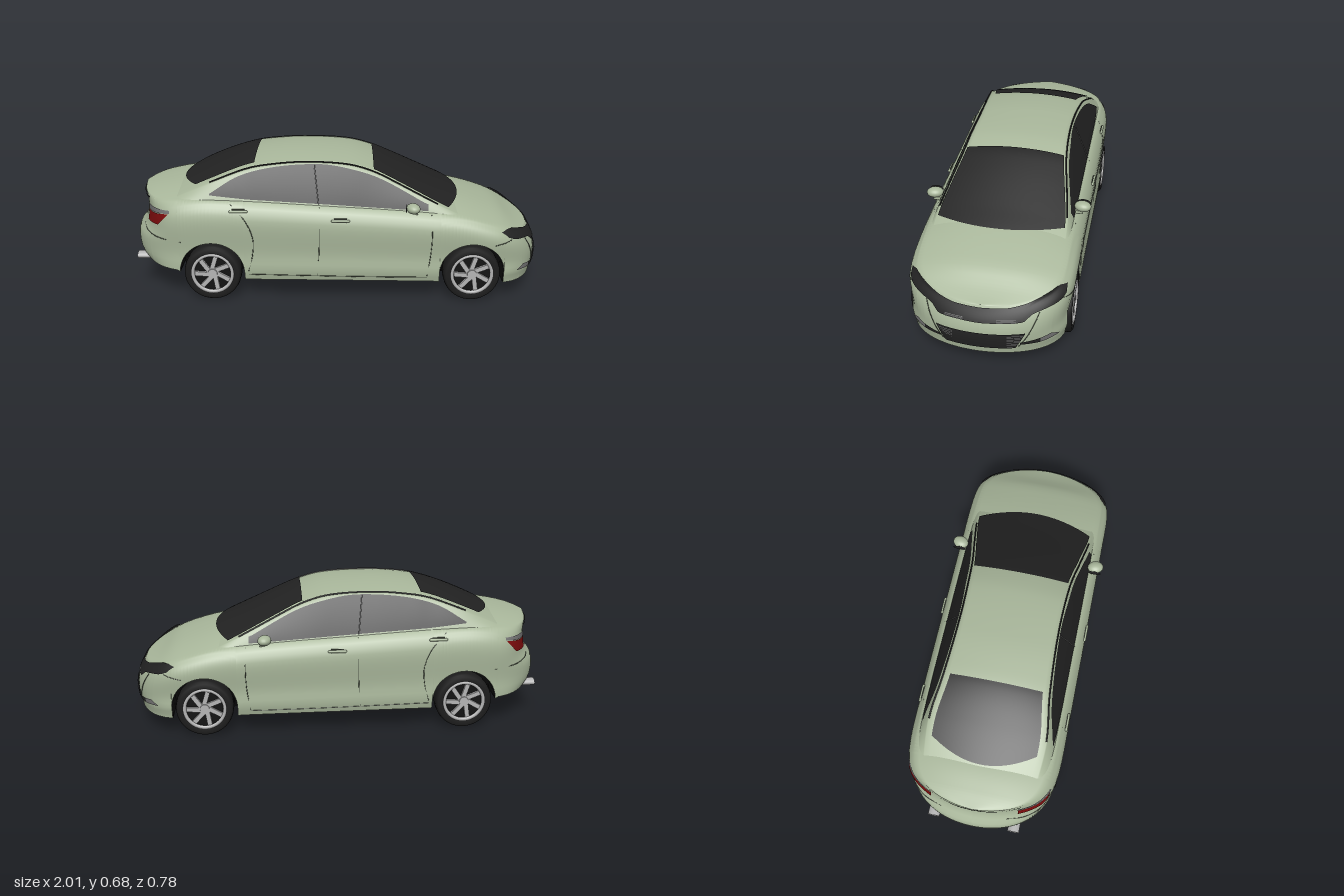
import * as THREE from 'three';

const mat = (name, color) => {
  const m = new THREE.MeshStandardMaterial({ color, side: THREE.DoubleSide });
  m.name = name;
  return m;
};
const clamp = THREE.MathUtils.clamp, lerp = THREE.MathUtils.lerp, smooth = THREE.MathUtils.smoothstep;
const range = (a, b, n) => Array.from({ length: n + 1 }, (_, i) => a + (b - a) * i / n);

// Smooth curve through [x, value] points
function curve(p) {
  const sl = p.map((_, i) => {
    const a = p[Math.max(i - 1, 0)], b = p[Math.min(i + 1, p.length - 1)];
    return (b[1] - a[1]) / (b[0] - a[0]);
  });
  return x => {
    x = clamp(x, p[0][0], p[p.length - 1][0]);
    let i = 0;
    while (i < p.length - 2 && x > p[i + 1][0]) i++;
    const h = p[i + 1][0] - p[i][0], t = (x - p[i][0]) / h, t2 = t * t, t3 = t2 * t;
    return (2 * t3 - 3 * t2 + 1) * p[i][1] + (t3 - 2 * t2 + t) * h * sl[i]
      + (3 * t2 - 2 * t3) * p[i + 1][1] + (t3 - t2) * h * sl[i + 1];
  };
}
// Straight-line curve for outlines with corners
const poly = p => x => {
  let i = 0;
  while (i < p.length - 2 && x > p[i + 1][0]) i++;
  return lerp(p[i][1], p[i + 1][1], clamp((x - p[i][0]) / (p[i + 1][0] - p[i][0]), 0, 1));
};

// Body lines along the length
const shoulder = curve([[-1, .485], [-.85, .48], [-.6, .495], [0, .465], [.43, .435], [.62, .41], [.81, .358], [1, .308]]);
const deck = curve([[-1, .495], [-.9, .512], [-.74, .528], [-.5, .52], [0, .48], [.5, .475], [.62, .452], [.81, .392], [.94, .338], [1, .311]]);
const hem = poly([[-1, .165], [-.76, .15], [-.7, .108], [.45, .098], [.85, .085], [1, .085]]);
const noseX = curve([[.08, .985], [.18, 1], [.24, .988], [.32, .948], [.37, .93]]);
const tailX = curve([[.15, .965], [.2, 1], [.29, 1], [.34, .962], [.42, .945], [.5, .96]]);
const flank = curve([[0, .96], [.14, .99], [.35, .975], [.72, 1], [.88, .97], [1, .885]]);
const AXLES = [-.595, .65], WHEEL_Y = .137, ARCH = .156;

const plan = u => .37 * Math.sqrt(Math.max(0, u > 0
  ? 1 - Math.max(0, (u - .6) / .4) ** 3.7
  : 1 - Math.max(0, (-u - .5) / .5) ** 4));
const side = (u, y) => plan(u) * flank(clamp((y - .1) / (shoulder(u) - .1), 0, 1));
const warp = (u, y) => u * (1 + ((u > 0 ? noseX(y) : tailX(y)) - 1) * smooth(Math.abs(u), .75, 1));
const low = u => {
  let y = hem(u);
  for (const a of AXLES) {
    const d = Math.abs(u - a);
    if (d < ARCH) y = Math.max(y, WHEEL_Y + Math.sqrt(ARCH * ARCH - d * d));
  }
  return y;
};
// Point on the flank, slightly lifted
const onSide = (u, y, s, e = .005) => [
  warp(u, y) + e * Math.sign(u) * smooth(Math.abs(u), .75, 1), y, s * side(u, y) * (1 + e * 2.4)];
// Lengthwise station where the nose has half-width z
function noseAt(z, y) {
  let a = .6, b = 1;
  for (let i = 0; i < 30; i++) { const m = (a + b) / 2; if (side(m, y) > z) a = m; else b = m; }
  return a;
}

// Cabin lines
const roof = curve([[-.85, .485], [-.74, .538], [-.58, .606], [-.42, .659], [-.3, .675], [-.16, .68], [.06, .668], [.17, .643], [.25, .612], [.49, .503], [.62, .446], [.66, .425]]);
const railDrop = curve([[-.82, .03], [-.4, .025], [0, .018], [.3, .03], [.6, .04]]);
const railZ = curve([[-.85, .26], [-.6, .278], [-.4, .252], [-.1, .236], [.17, .246], [.35, .275], [.5, .298], [.66, .3]]);
const rail = x => Math.max(roof(x) - railDrop(x), shoulder(x));
const cabinZ = (x, y) => {
  const s = shoulder(x) - .01, t = clamp((y - s) / (rail(x) - s), 0, 1);
  return lerp(side(x, shoulder(x)) - .003, railZ(x), t) + .012 * t * (1 - t);
};
const roofY = (x, f) => lerp(roof(x), rail(x), f * f);

export function createModel() {
  const car = new THREE.Group();
  car.name = 'car';
  const paint = mat('sage paint', 0xa9b79b), glass = mat('dark glass', 0x222222), rubber = mat('tyre rubber', 0x1c1c1c),
    under = mat('underbody black', 0x111111), alloy = mat('alloy', 0xb4b4b4), red = mat('tail red', 0x7c0c0c),
    lamp = mat('lamp grey', 0x707070), seamMat = mat('seam grey', 0x4c5346);

  const add = (name, geo, m, parent = car) => {
    const mesh = new THREE.Mesh(geo, m);
    mesh.name = name;
    parent.add(mesh);
    return mesh;
  };
  // Grid surface from a point rule
  const patch = (name, us, vs, fn, m) => {
    const pos = [], idx = [], n = vs.length;
    us.forEach((u, i) => vs.forEach((v, j) => {
      pos.push(...fn(u, v));
      if (i && j) {
        const a = (i - 1) * n + j - 1, b = i * n + j - 1;
        idx.push(a, a + 1, b, b, a + 1, b + 1);
      }
    }));
    const g = new THREE.BufferGeometry();
    g.setAttribute('position', new THREE.Float32BufferAttribute(pos, 3));
    g.setIndex(idx);
    g.computeVertexNormals();
    return add(name, g, m);
  };
  const line = (name, pts, m, r = .002) =>
    add(name, new THREE.TubeGeometry(new THREE.CatmullRomCurve3(pts.map(p => new THREE.Vector3(...p))), 32, r, 5), m);

  // Body shell: stations are denser at the arches and the rounded ends
  const us = range(-1, 1, 120);
  for (const a of AXLES) for (const t of range(0, Math.PI, 28)) us.push(a + ARCH * 1.0001 * Math.cos(t));
  for (const t of range(0, 1, 18)) us.push(1 - .1 * t * t, -1 + .1 * t * t);
  us.sort((a, b) => a - b);
  patch('bodyShell', us, range(-2, 2, 56), (u, v) => {
    const t = Math.abs(v), s = Math.sign(v), sh = shoulder(u);
    const y = t > 1 ? lerp(sh, low(u), t - 1) : lerp(deck(u), sh, t ** 2.4);
    const z = t > 1 ? side(u, y) : side(u, sh) * t;
    return [warp(u, y), y, s * z];
  }, paint);

  // Underbody with wheel wells
  patch('underbody', us, [-3, -2, -1, 1, 2, 3], (u, v) => {
    const t = Math.abs(v), y = t > 1 ? low(u) : hem(u) + .004, w = side(u, low(u)) * .995;
    return [warp(u, y) * .998, y, Math.sign(v) * (t > 2 ? w : Math.min(w, .24))];
  }, under);

  // Cabin and its glass
  patch('cabin', range(-.85, .66, 90), range(-2, 2, 40), (x, v) => {
    const t = Math.abs(v), s = Math.sign(v);
    if (t <= 1) return [x, roofY(x, t), s * t * railZ(x)];
    const y = lerp(rail(x), shoulder(x) - .01, t - 1);
    return [x, y, s * cabinZ(x, y)];
  }, paint);
  const screen = (name, top, bottom, bow, f0, f1) => patch(name, range(0, 1, 30), range(-1, 1, 24), (t, f) => {
    const x = lerp(top, bottom + bow * f * f, t), g = f * lerp(f0, f1, t);
    return [x + Math.sign(bottom) * .002, roofY(x, g) + .005, g * railZ(x)];
  }, glass);
  screen('windscreen', .175, .6, -.07, .95, .975);
  screen('rearWindow', -.39, -.755, .085, .87, .9);

  const winTop = curve([[-.6, .524], [-.47, .598], [-.31, .638], [-.1, .652], [.03, .638], [.2, .59], [.43, .474]]);
  const winLow = poly([[-.6, .518], [-.42, .5], [0, .474], [.435, .445]]);
  const strip = (name, m, s, u0, u1, top, bottom) =>
    patch(name, range(u0, u1, 24), range(0, 1, 4), (u, t) => onSide(u, lerp(bottom(u), top(u), t), s), m);
  const front = (name, m, z0, z1, top, bottom) =>
    patch(name, range(z0, z1, 48), range(0, 1, 6), (z, t) => {
      const y = lerp(bottom(Math.abs(z)), top(Math.abs(z)), t);
      return onSide(noseAt(Math.abs(z), y), y, Math.sign(z), .006);
    }, m);

  for (const s of [-1, 1]) {
    patch('sideWindow', range(-.6, .435, 60), range(0, 1, 8), (x, t) => {
      const y = lerp(winLow(x), winTop(x), t);
      return [x, y, s * (cabinZ(x, y) + .004)];
    }, glass);
    line('windowDivider', range(.478, .648, 5).map(y => {
      const x = -.085 - (y - .478) * .12;
      return [x, y, s * (cabinZ(x, y) + .005)];
    }), lamp, .0025);
    line('roofTrim', range(-.6, .48, 24).map(x => [x, rail(x) + .001, s * railZ(x)]), glass, .004);

    // Panel gaps
    const seam = (name, pts) => line(name, pts.map(([u, y]) => onSide(u, y, s, 0)), seamMat);
    seam('frontDoorGap', [[.45, .43], [.452, .35], [.45, .25], [.435, .13]]);
    seam('middleDoorGap', [[-.08, .465], [-.08, .36], [-.083, .24], [-.09, .13]]);
    seam('rearDoorGap', [[-.5, .48], [-.43, .41], [-.395, .32], [-.4, .23], [-.42, .15]]);
    seam('sillGap', [[-.42, .135], [-.1, .128], [.2, .123], [.435, .122]]);
    seam('rearBumperGap', [[-.975, .325], [-.93, .315], [-.85, .305], [-.74, .295]]);
    seam('frontBumperGap', [[.75, .285], [.8, .295], [.85, .305]]);

    // Door handles
    for (const [x, y] of [[-.46, .453], [.02, .41]]) {
      const z = side(x, y);
      add('handleRecess', new THREE.BoxGeometry(.06, .022, .004), seamMat).position.set(x, y, s * z);
      const h = add('doorHandle', new THREE.CapsuleGeometry(.007, .075, 4, 8), paint);
      h.rotation.z = Math.PI / 2;
      h.position.set(x, y, s * (z + .004));
    }

    // Door mirrors
    const shell = add('mirrorShell', new THREE.SphereGeometry(1, 20, 14), paint);
    shell.scale.set(.032, .024, .04);
    shell.position.set(.36, .468, s * .352);
    shell.rotation.y = s * .25;
    const face = add('mirrorGlass', new THREE.CircleGeometry(1, 20), glass);
    face.scale.set(.032, .018, 1);
    face.rotation.y = -Math.PI / 2;
    face.position.set(.327, .468, s * .352);
    add('mirrorArm', new THREE.BoxGeometry(.025, .015, .06), paint).position.set(.37, .447, s * .325);

    // Tail lamps and boot slot
    strip('tailLampRed', red, s, -.8, -.955, poly([[-.955, .415], [-.8, .432]]), poly([[-.955, .362], [-.87, .37], [-.8, .43]]));
    strip('tailLampGrey', lamp, s, -.79, -.955, poly([[-.955, .445], [-.79, .448]]), poly([[-.955, .417], [-.79, .435]]));
    strip('bootSlot', glass, s, -.93, -1, () => .482, poly([[-1, .462], [-.93, .475]]));

    // Fog lamps
    const fogTop = poly([[.17, .152], [.25, .16], [.29, .167], [.32, .147]]), fogLow = poly([[.17, .14], [.25, .138], [.32, .145]]);
    front('fogRecess', glass, s * .17, s * .25, fogTop, fogLow);
    front('fogLamp', lamp, s * .25, s * .32, fogTop, fogLow);
    // Bumper crease beside the lower intake
    line('bumperCrease', [[.245, .28], [.225, .23], [.195, .17], [.165, .125]].map(([z, y]) => onSide(noseAt(z, y), y, s, .001)), seamMat);

    // Grille mesh bars
    const bar = (z0, z1, y) => patch('grilleBar', range(z0, z1, 8), [0, .0025], (z, h) =>
      onSide(noseAt(z, y + h), y + h, s, .009), lamp);
    for (const y of range(.13, .19, 7)) bar(.115, .155 + (y - .13) * .45, y);
    for (const y of range(.25, .26, 2)) bar(.07, .15, y);

    // Exhaust tips
    const tip = add('exhaustTip', new THREE.CylinderGeometry(.017, .017, .08, 20, 1, true), alloy);
    tip.rotation.z = Math.PI / 2;
    tip.scale.z = 1.7;
    tip.position.set(-.945, .168, s * .2);
  }

  // Nose: lamp band with upper grille, then lower intake
  front('headlampBand', glass, -.338, .338,
    poly([[0, .303], [.12, .306], [.19, .318], [.3, .356], [.338, .346]]),
    poly([[0, .245], [.18, .25], [.215, .28], [.32, .304], [.338, .32]]));
  front('lowerIntake', glass, -.19, .19, () => .2, poly([[0, .12], [.15, .12], [.19, .198]]));

  // Wheels
  const tyreProfile = [[.098, -.042], [.125, -.045], [.134, -.036], [.137, -.02], [.137, .02], [.134, .036], [.125, .045], [.098, .042]]
    .map(([r, y]) => new THREE.Vector2(r, y));
  for (const x of AXLES) {
    for (const s of [-1, 1]) {
      const wheel = new THREE.Group();
      wheel.name = 'wheel';
      wheel.position.set(x, WHEEL_Y, s * .32);
      if (s < 0) wheel.rotation.y = Math.PI;
      car.add(wheel);
      add('tyre', new THREE.LatheGeometry(tyreProfile, 48), rubber, wheel).rotation.x = Math.PI / 2;
      const dish = add('wheelDish', new THREE.CylinderGeometry(.1, .1, .05, 36), under, wheel);
      dish.rotation.x = Math.PI / 2;
      add('rim', new THREE.TorusGeometry(.095, .009, 8, 48), alloy, wheel).position.z = .038;
      const hub = add('hub', new THREE.CylinderGeometry(.022, .026, .018, 20), alloy, wheel);
      hub.rotation.x = Math.PI / 2;
      hub.position.z = .034;
      for (let i = 0; i < 7; i++) {
        const arm = new THREE.Group();
        arm.rotation.z = i * Math.PI * 2 / 7;
        wheel.add(arm);
        const spoke = add('spoke', new THREE.BoxGeometry(.022, .08, .012), alloy, arm);
        spoke.position.set(.008, .055, .033);
        spoke.rotation.z = -.3;
      }
    }
    const axle = add('axle', new THREE.CylinderGeometry(.014, .014, .56, 12), under);
    axle.rotation.x = Math.PI / 2;
    axle.position.set(x, WHEEL_Y - .02, 0);
  }
  return car;
}
